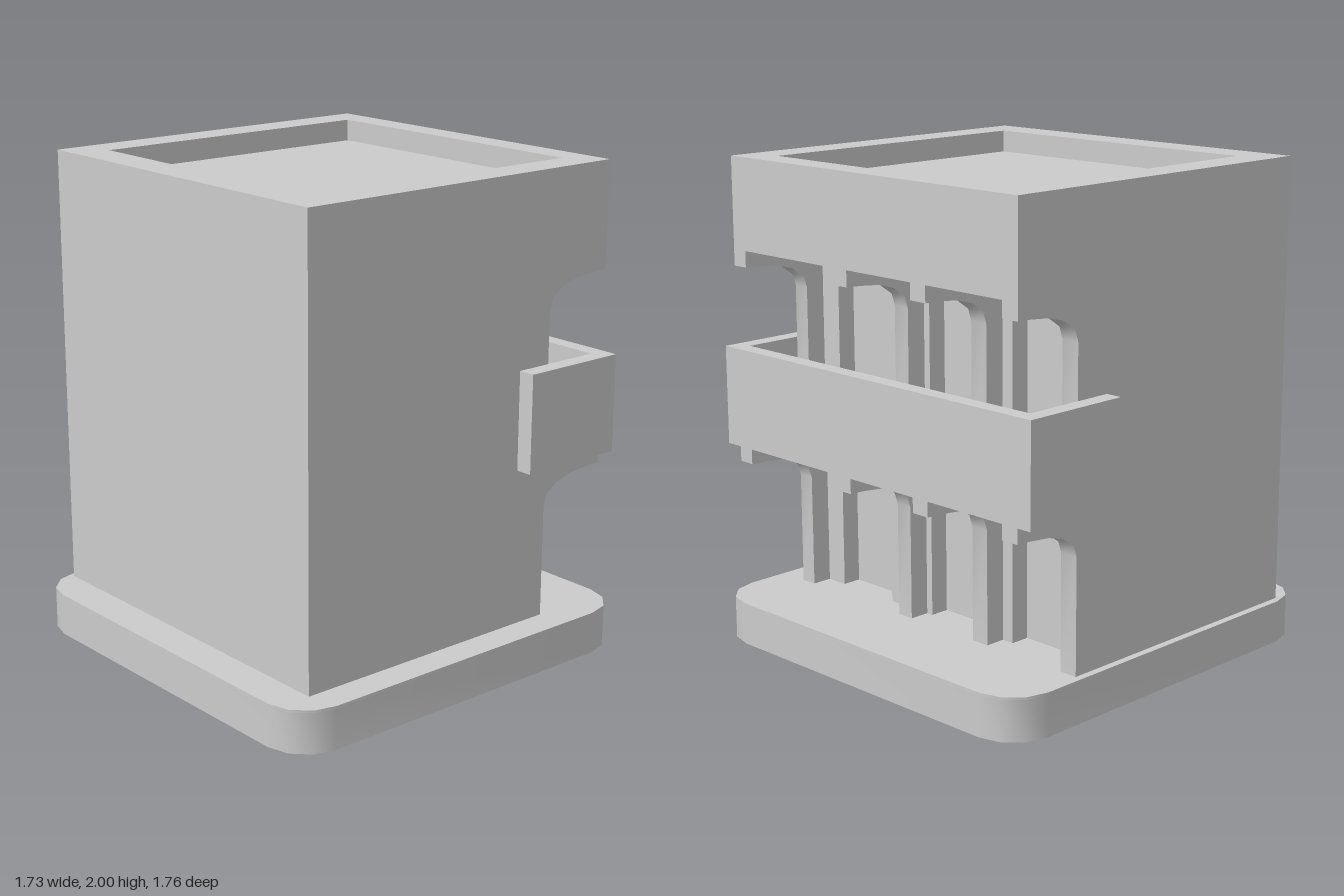
import * as THREE from 'three';
import { toCreasedNormals } from 'three/addons/utils/BufferGeometryUtils.js';

const material = new THREE.MeshStandardMaterial({ color: 0xcccccc });

// Main body extents and the four fins that divide the bays (z ranges)
const BACK = -0.814, FRONT = 0.755, LEFT = 0.813, RIGHT = -0.71, TOP = 2, ROOF = 1.91;
const fins = [[0.684, FRONT], [0.08, 0.154], [-0.35, -0.27], [BACK, -0.737]];
const bays = [[0.154, 0.684], [-0.27, 0.08], [-0.737, -0.35]];
const windows = [[0.29, 0.588], [-0.24, 0.05], [-0.7, -0.403]];
const storeys = [
  { floor: 0.175, spring: 0.595, crown: 0.65, panelTop: 0.768 },
  { floor: 0.975, spring: 1.47, crown: 1.525, panelTop: 1.63 },
];
const WALL = 0.34, PANEL = 0.08, DECK = 0.175, SKIN = 0.01;

export function createModel() {
  const model = new THREE.Group();

  function add(name, geometry) {
    const mesh = new THREE.Mesh(geometry, material);
    mesh.name = name;
    model.add(mesh);
    return mesh;
  }
  function box(name, x0, x1, y0, y1, z0, z1) {
    const mesh = add(name, new THREE.BoxGeometry(x1 - x0, y1 - y0, z1 - z0));
    mesh.position.set((x0 + x1) / 2, (y0 + y1) / 2, (z0 + z1) / 2);
  }
  function extrude(shape, depth, curveSegments) {
    return new THREE.ExtrudeGeometry(shape, { depth, curveSegments, bevelEnabled: false });
  }
  function vectors(points) {
    return points.map(p => new THREE.Vector2(...p));
  }
  function rectangle(PathType, x0, x1, y0, y1) {
    return new PathType(vectors([[x0, y0], [x1, y0], [x1, y1], [x0, y1]]));
  }

  // Square outline with each corner rounded in three steps
  function roundedSquare(half, radius) {
    const points = [];
    for (let corner = 0; corner < 4; corner++) {
      const middle = (corner + 0.5) * Math.PI / 2;
      const cx = Math.sign(Math.cos(middle)) * (half - radius);
      const cy = Math.sign(Math.sin(middle)) * (half - radius);
      for (let step = 0; step < 4; step++) {
        const angle = (corner + step / 3) * Math.PI / 2;
        points.push([cx + radius * Math.cos(angle), cy + radius * Math.sin(angle)]);
      }
    }
    return vectors(points);
  }

  // Plinth: a skirt open underneath, closed by a thin deck
  const outline = roundedSquare(0.8625, 0.18);
  const skirt = new THREE.Shape(outline);
  skirt.holes.push(new THREE.Path(roundedSquare(0.8625 - SKIN, 0.18 - SKIN)));
  for (const [name, shape, y0, y1] of [
    ['plinthSkirt', skirt, 0, DECK - SKIN],
    ['plinthDeck', new THREE.Shape(outline), DECK - SKIN, DECK],
  ]) {
    const geometry = extrude(shape, y1 - y0).rotateX(-Math.PI / 2).translate(0, y0, 0.0185);
    add(name, toCreasedNormals(geometry, 0.7));
  }

  // Core block behind the bays
  box('core', RIGHT, WALL, DECK, ROOF, -0.737, 0.684);

  // Fins with a curved bracket under each storey; the outer two are the side walls
  const bracket = [[0.505, 0.64], [0.521, 0.688], [0.579, 0.728], [0.653, 0.749], [0.749, 0.758], [LEFT, 0.76]];
  function finShape(x0) {
    return new THREE.Shape(vectors([
      [x0, DECK], [0.505, DECK], ...bracket,
      [LEFT, 0.975], [0.505, 0.975], ...bracket.map(([x, y]) => [x, y + 0.804]),
      [LEFT, ROOF], [x0, ROOF],
    ]));
  }
  fins.forEach(([z0, z1], i) => {
    const outer = i === 0 || i === 3;
    const geometry = extrude(finShape(outer ? RIGHT : 0.3), z1 - z0).translate(0, 0, z0);
    add(outer ? 'sideWall' : 'fin', toCreasedNormals(geometry, 0.75));
  });

  // Floor slab, fascia and arched wall panels in every bay
  bays.forEach(([z0, z1], i) => {
    box('balconyFloor', WALL, LEFT, 0.825, 0.975, z0, z1);
    box('fascia', WALL, LEFT, 1.63, ROOF, z0, z1);
    const [a, b] = windows[i];
    for (const { floor, spring, crown, panelTop } of storeys) {
      const s = new THREE.Shape();
      s.moveTo(-z1, floor);
      s.lineTo(-b, floor);
      s.lineTo(-b, spring);
      s.quadraticCurveTo(-(a + b) / 2, 2 * crown - spring, -a, spring);
      s.lineTo(-a, floor);
      s.lineTo(-z0, floor);
      s.lineTo(-z0, panelTop);
      s.lineTo(-z1, panelTop);
      const geometry = extrude(s, PANEL, 8).rotateY(Math.PI / 2).translate(WALL, 0, 0);
      add('archedPanel', toCreasedNormals(geometry, 0.5));
    }
  });

  // Raised rim around the sunken roof
  const rim = rectangle(THREE.Shape, RIGHT, LEFT, -FRONT, -BACK);
  rim.holes.push(rectangle(THREE.Path, -0.56, 0.693, -0.614, 0.67));
  add('roofRim', extrude(rim, TOP - ROOF).rotateX(-Math.PI / 2).translate(0, ROOF, 0));

  // Balcony parapet wrapping the left side, with a return along each wall
  const parapet = new THREE.Shape(vectors([
    [0.35, -0.825], [0.818, -0.825], [0.818, 0.882], [0.35, 0.882],
    [0.35, -BACK], [0.75, -BACK], [0.75, -FRONT], [0.35, -FRONT],
  ]));
  add('balconyParapet', extrude(parapet, 0.405).rotateX(-Math.PI / 2).translate(0, 0.823, 0));

  return model;
}
